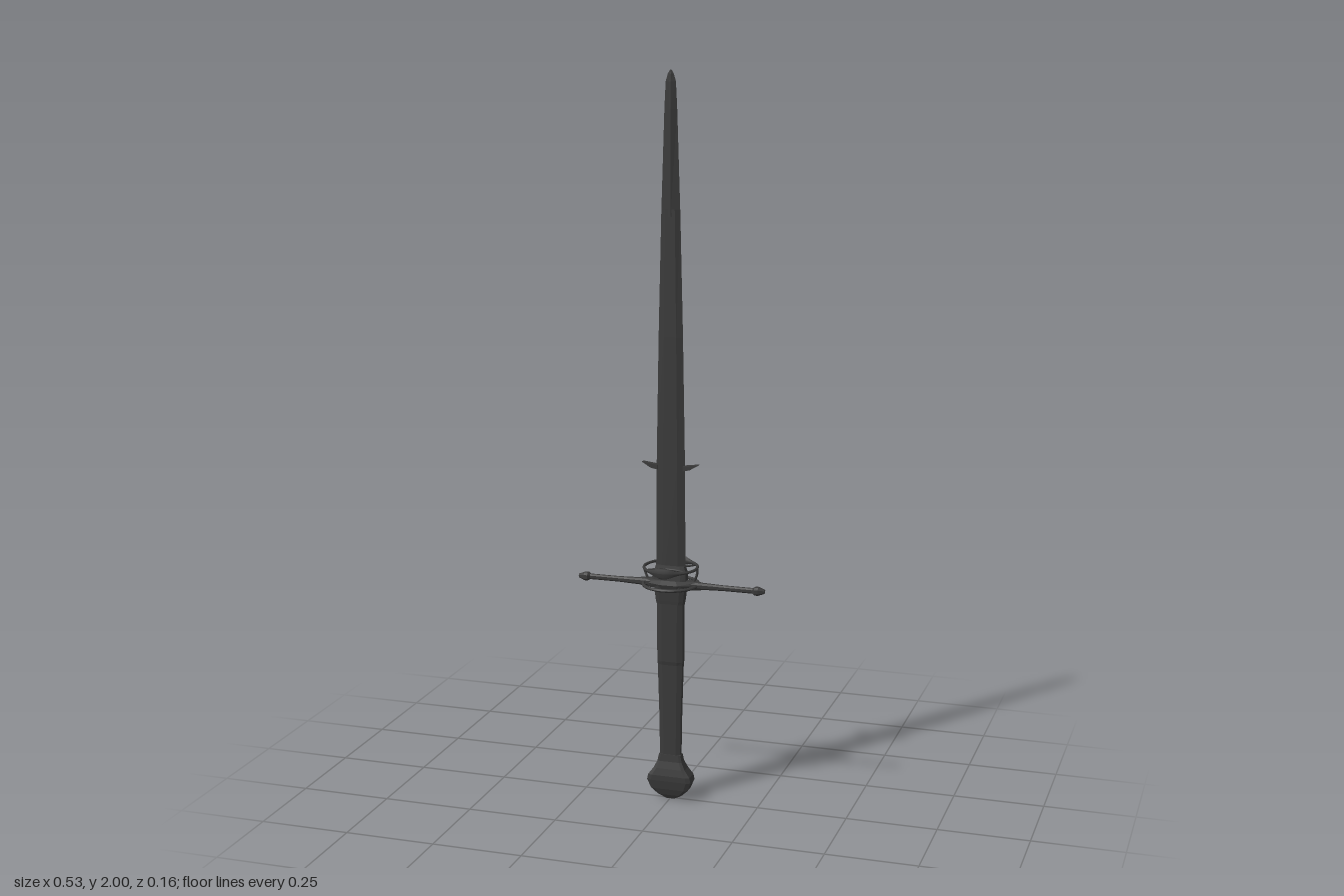
import * as THREE from 'three';

const steel = new THREE.MeshStandardMaterial({ color: 0x3a3a3a, flatShading: true, side: THREE.DoubleSide });
const smoothSteel = new THREE.MeshStandardMaterial({ color: 0x3a3a3a });

// unit cross-sections, listed from +x towards +z
const chamfered = (c) => [[1, -c], [1, c], [c, 1], [-c, 1], [-1, c], [-1, -c], [-c, -1], [c, -1]];
const lens = (f) => [[1, 0], [f, 1], [-f, 1], [-1, 0], [-f, -1], [f, -1]];

// skins a section along y; each row is [y, half width, half depth]
function loft(name, section, rows) {
  const n = section.length;
  const pos = [];
  const index = [];
  rows.forEach(([y, hx, hz]) => section.forEach(([x, z]) => pos.push(x * hx, y, z * hz)));
  for (let i = 0; i < rows.length - 1; i++) {
    for (let j = 0; j < n; j++) {
      const a = i * n + j;
      const b = i * n + (j + 1) % n;
      index.push(a, a + n, b, b, a + n, b + n);
    }
  }
  const top = (rows.length - 1) * n;
  for (let j = 1; j < n - 1; j++) {
    index.push(0, j, j + 1, top, top + j + 1, top + j);
  }
  const geo = new THREE.BufferGeometry();
  geo.setAttribute('position', new THREE.Float32BufferAttribute(pos, 3));
  geo.setIndex(index);
  geo.computeVertexNormals();
  const mesh = new THREE.Mesh(geo, steel);
  mesh.name = name;
  return mesh;
}

function tube(name, points, radius) {
  const curve = new THREE.CatmullRomCurve3(points.map((p) => new THREE.Vector3(...p)));
  const mesh = new THREE.Mesh(new THREE.TubeGeometry(curve, 24, radius, 8), smoothSteel);
  mesh.name = name;
  return mesh;
}

// horizontal ring whose front and back swell into tall plates
function ring(name, y, radius, thickness, swell) {
  const geo = new THREE.TorusGeometry(radius, thickness, 8, 64).rotateX(Math.PI / 2);
  const p = geo.attributes.position;
  for (let i = 0; i < p.count; i++) {
    const s = Math.min(1, Math.abs(p.getZ(i)) / radius);
    p.setY(i, p.getY(i) * (1 + swell * s ** 12));
  }
  geo.computeVertexNormals();
  const mesh = new THREE.Mesh(geo, smoothSteel);
  mesh.name = name;
  mesh.position.y = y;
  return mesh;
}

export function createModel() {
  const sword = new THREE.Group();
  sword.name = 'greatsword';

  // blade: flat-faced lower part, ridged point
  sword.add(loft('bladeLower', lens(0.5), [
    [0.62, 0.042, 0.007], [0.95, 0.04, 0.007], [1.3, 0.034, 0.007], [1.64, 0.026, 0.007],
  ]));
  sword.add(loft('bladePoint', lens(0.08), [
    [1.62, 0.0265, 0.008], [1.9, 0.0175, 0.008], [1.97, 0.014, 0.006], [1.99, 0.008, 0.004], [2, 0.002, 0.001],
  ]));

  // grip and pommel
  sword.add(loft('grip', chamfered(0.6), [
    [0.11, 0.029, 0.011], [0.25, 0.031, 0.012], [0.39, 0.035, 0.013], [0.4, 0.036, 0.015], [0.58, 0.037, 0.016],
  ]));
  sword.add(loft('pommel', chamfered(0.8), [
    [0, 0.012, 0.007], [0.012, 0.034, 0.014], [0.03, 0.053, 0.02], [0.055, 0.063, 0.024],
    [0.07, 0.06, 0.024], [0.09, 0.045, 0.02], [0.11, 0.035, 0.015], [0.13, 0.031, 0.013],
  ]));

  // collars below and above the guard
  sword.add(loft('lowerCollar', chamfered(0.7), [[0.565, 0.037, 0.017], [0.575, 0.039, 0.018], [0.62, 0.044, 0.021]]));
  sword.add(loft('upperCollar', chamfered(0.7), [[0.62, 0.046, 0.018], [0.655, 0.045, 0.014], [0.672, 0.04, 0.011]]));

  // guard centre block
  sword.add(loft('guardBlock', lens(0.25), [[0.608, 0.085, 0.02], [0.62, 0.095, 0.024], [0.632, 0.085, 0.02]]));

  for (const side of [-1, 1]) {
    // cross-guard arm with flared end
    const arm = loft('guardArm', chamfered(0.5), [
      [0, 0.012, 0.016], [0.08, 0.009, 0.01], [0.15, 0.007, 0.007], [0.232, 0.007, 0.007],
      [0.238, 0.011, 0.013], [0.248, 0.011, 0.012], [0.265, 0.005, 0.005],
    ]);
    arm.rotation.z = -side * Math.PI / 2;
    arm.position.y = 0.62;
    sword.add(arm);

    // upright joining the two rings
    sword.add(tube('ringUpright', [
      [side * 0.058, 0.622, 0], [side * 0.067, 0.634, 0], [side * 0.074, 0.65, 0], [side * 0.076, 0.667, 0],
    ], 0.0035));

    // inward-curving bar on the front and back of the ring
    const bar = [];
    for (let i = 0; i <= 10; i++) {
      const a = Math.PI * i / 10;
      bar.push([0.056 * Math.cos(a), 0.665, side * (0.052 - 0.031 * Math.sin(a))]);
    }
    sword.add(tube('innerBar', bar, 0.003));

    // parrying hook
    const outline = new THREE.Shape();
    outline.moveTo(side * 0.035, 0.938);
    outline.lineTo(side * 0.055, 0.942);
    outline.lineTo(side * 0.08, 0.957);
    outline.lineTo(side * 0.035, 0.951);
    const hook = new THREE.Mesh(new THREE.ExtrudeGeometry(outline, { depth: 0.016, bevelEnabled: false }), steel);
    hook.name = 'parryingHook';
    hook.position.z = -0.008;
    sword.add(hook);
  }

  // side rings
  sword.add(ring('lowerRing', 0.62, 0.075, 0.0045, 0));
  sword.add(ring('upperRing', 0.667, 0.073, 0.004, 3));
  return sword;
}
